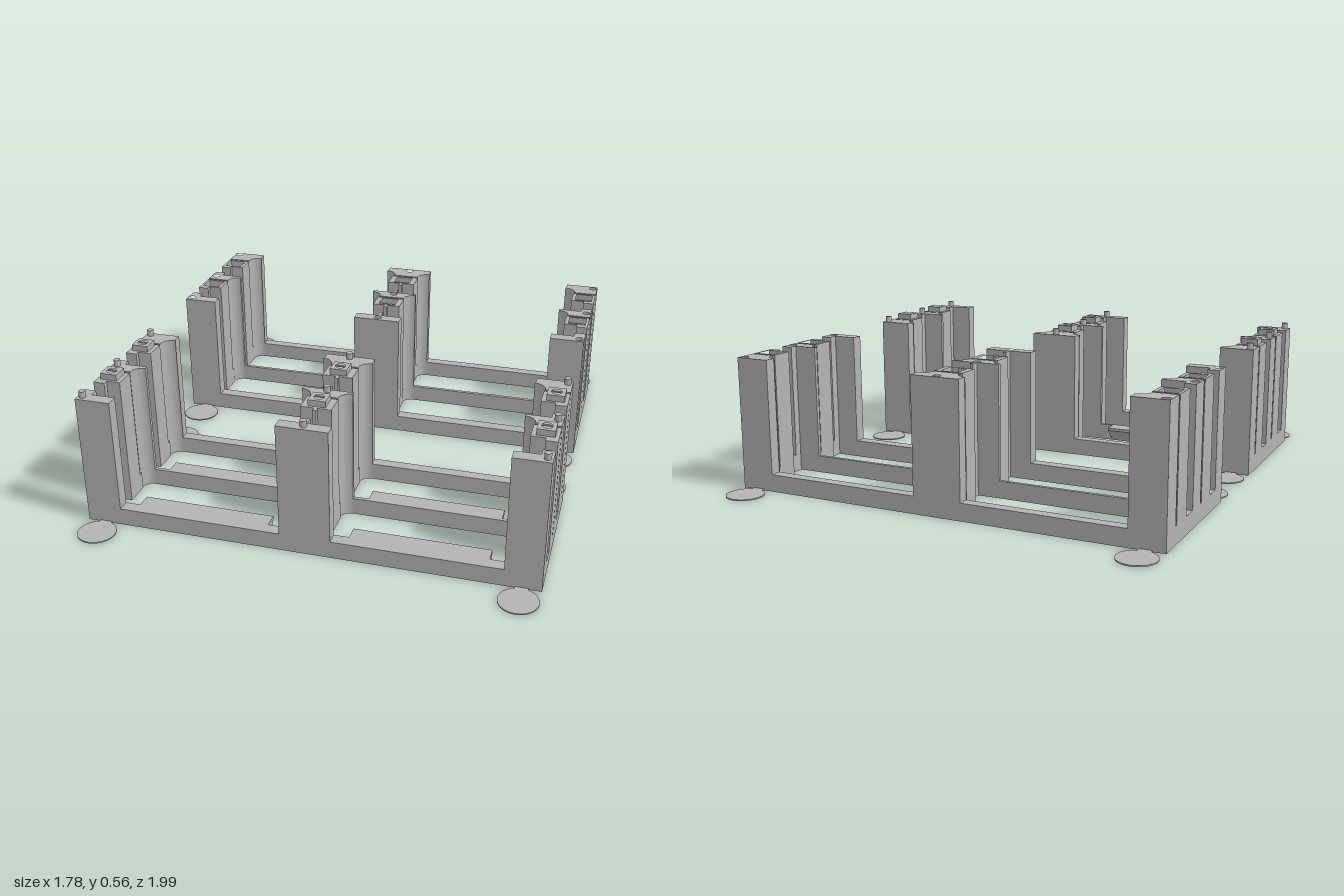
import * as THREE from 'three';

const H = 0.53, BASE = 0.07, TOP = 0.03;

export function createModel() {
  const model = new THREE.Group();
  const grey = new THREE.MeshStandardMaterial({ color: 0xb3b3b3 });
  grey.name = 'plain grey';

  const add = (parent, name, geometry) => {
    const mesh = new THREE.Mesh(geometry, grey);
    mesh.name = name;
    parent.add(mesh);
    return mesh;
  };
  // Box given by its limits on each axis
  const box = (parent, name, x0, x1, y0, y1, z0, z1) => add(parent, name,
    new THREE.BoxGeometry(Math.abs(x1 - x0), y1 - y0, z1 - z0)
      .translate((x0 + x1) / 2, (y0 + y1) / 2, (z0 + z1) / 2));
  // Plan outline of [x, z] points raised from y0 to y1
  const outline = (pts) => pts.map(([x, z]) => new THREE.Vector2(x, -z));
  const raise = (parent, name, pts, y0, y1, holes = []) => {
    const shape = new THREE.Shape(outline(pts));
    holes.forEach((h) => shape.holes.push(new THREE.Path(outline(h))));
    const g = new THREE.ExtrudeGeometry(shape, { depth: y1 - y0, bevelEnabled: false });
    return add(parent, name, g.rotateX(-Math.PI / 2).translate(0, y0, 0));
  };
  const circle = (x, z, r, n = 24) => Array.from({ length: n }, (_, i) => {
    const a = (i / n) * Math.PI * 2;
    return [x + r * Math.cos(a), z + r * Math.sin(a)];
  });
  const square = (x, z, h) => [[x - h, z - h], [x + h, z - h], [x + h, z + h], [x - h, z + h]];
  // Concave fillet from the flange into the neck
  const fillet = (x, dir, z, r, n = 6) => Array.from({ length: n + 1 }, (_, i) => {
    const a = (i / n) * Math.PI / 2;
    return [x + dir * (r - r * Math.sin(a)), z + r - r * Math.cos(a)];
  });

  // Column rows: web start, flange start, flange end, neck end, peg position
  const rows = [
    { zs: -0.84, z0: -0.84, z1: -0.795, ze: -0.747, peg: -0.82 },
    { zs: -0.56, z0: -0.53, z1: -0.515, ze: -0.47, peg: -0.513 },
    { zs: -0.285, z0: -0.25, z1: -0.2, ze: -0.2, peg: -0.225 },
  ];
  const posts = [
    { z0: -0.737, z1: -0.648, strip: -0.63, hole: -0.692 },
    { z0: -0.459, z1: -0.37, strip: -0.35, hole: -0.415 },
  ];

  const endColumn = (s, r) => {
    const neck = r.ze > r.z1 ? fillet(0.795, -1, r.z1, r.ze - r.z1) : [];
    return [[0.89, r.zs], [0.845, r.zs], [0.845, r.z0], [0.75, r.z0], [0.75, r.z1],
      ...neck, [0.89, r.ze]].map(([x, z]) => [s * x, z]);
  };
  const middleColumn = (r) => {
    const neck = r.ze > r.z1 ? fillet(0.055, 1, r.z1, r.ze - r.z1) : [];
    const half = [[0.007, r.zs], [0.007, r.z0], [0.1, r.z0], [0.1, r.z1], ...neck];
    return [...half, ...half.slice().reverse().map(([x, z]) => [-x, z])];
  };

  // One rack: pegs on top, or matching sockets
  const buildRack = (name, offset, pegged) => {
    const rack = new THREE.Group();
    rack.name = name;
    rack.position.z = offset;

    for (const s of [-1, 0, 1]) {
      const pegX = s * 0.87, postX = s * 0.842;
      const [x0, x1] = s ? [s * 0.79, s * 0.89] : [-0.06, 0.06];
      const [w0, w1] = s ? [s * 0.845, s * 0.89] : [-0.007, 0.007];

      for (const r of rows) {
        const pts = s ? endColumn(s, r) : middleColumn(r);
        raise(rack, 'column', pts, 0, H - TOP);
        const socket = pegged ? [] : [circle(pegX, r.peg, 0.016)];
        raise(rack, 'columnTop', pts, H - TOP, H, socket);
        if (pegged) {
          add(rack, 'peg', new THREE.CylinderGeometry(0.013, 0.013, 0.03, 24)
            .translate(pegX, H + 0.01, r.peg));
        }
      }

      for (const p of posts) {
        const pts = [[x0, p.z0], [x1, p.z0], [x1, p.z1], [x0, p.z1]];
        const bore = circle(postX, p.hole, 0.02);
        raise(rack, 'post', pts, 0, H - TOP, [bore]);
        raise(rack, 'postTop', pts, H - TOP, H, [pegged ? bore : square(postX, p.hole, 0.036)]);
        if (pegged) raise(rack, 'boss', square(postX, p.hole, 0.034), H, H + 0.025, [bore]);
        box(rack, 'postRib', w0, w1, 0, H, p.z1, p.strip);
        box(rack, 'postBridge', x0, x1, 0, BASE, p.z0 - 0.015, p.z0);
      }

      // Low side rails, broken at the posts so the bores stay open
      for (const [z0, z1] of [[-0.84, -0.737], [-0.648, -0.459], [-0.37, -0.2]]) {
        box(rack, 'sideRail', w0, w1, 0, BASE, z0, z1);
      }
    }

    for (const r of rows) box(rack, 'crossRail', -0.89, 0.89, 0, BASE, r.z0, r.z1);

    // Thin round feet on short tabs
    for (const s of [-1, 1]) {
      for (const [z, edge] of [[-0.925, -0.83], [-0.12, -0.21]]) {
        add(rack, 'footDisc', new THREE.CylinderGeometry(0.075, 0.075, 0.005, 40)
          .translate(s * 0.817, 0.0025, z));
        box(rack, 'footTab', s * 0.817 - 0.025, s * 0.817 + 0.025, 0, 0.005,
          Math.min(z, edge), Math.max(z, edge));
      }
    }
    model.add(rack);
    return rack;
  };

  buildRack('backRack', 0, false);
  const front = buildRack('frontRack', 1.035, true);

  // Ledges with sloping undersides behind two rails of the front rack
  for (const z of [-0.53, -0.25]) {
    for (const x of [-0.69, 0.16]) {
      const profile = new THREE.Shape([[0, 0], [0, BASE], [0.06, BASE], [0.06, 0.058]]
        .map(([a, b]) => new THREE.Vector2(a, b)));
      const g = new THREE.ExtrudeGeometry(profile, { depth: 0.53, bevelEnabled: false });
      add(front, 'ledge', g.rotateY(Math.PI / 2).translate(x, 0, 0).applyMatrix4(
        new THREE.Matrix4().makeTranslation(0, 0, z)));
    }
  }
  return model;
}
